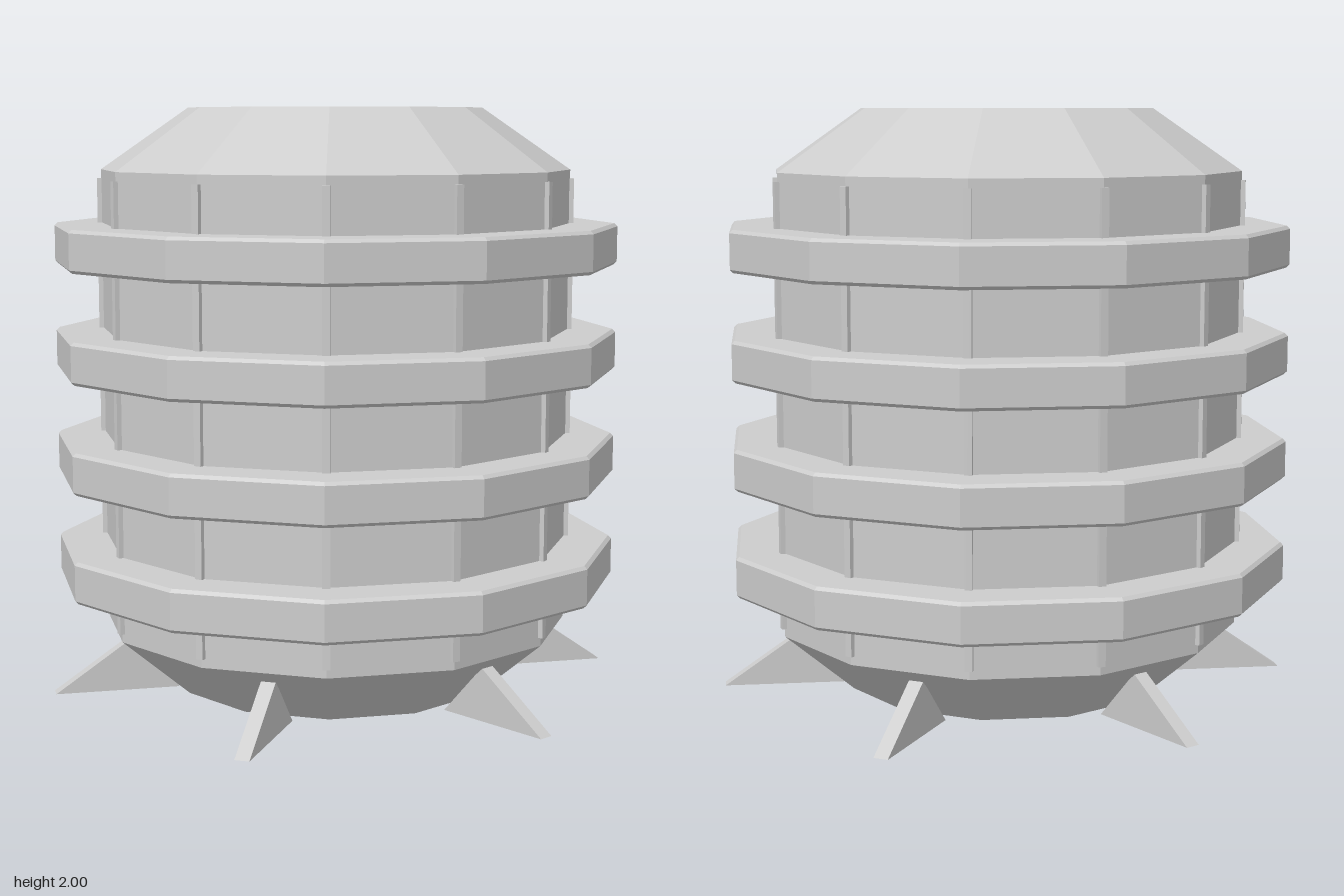
import * as THREE from 'three';

const SIDES = 12;
const HALF_STEP = Math.PI / SIDES;

// Unshared vertices give crisp flat facets
function faceted(geometry) {
  const g = geometry.index ? geometry.toNonIndexed() : geometry;
  g.computeVertexNormals();
  return g;
}

// Twelve-sided solid of revolution, flat side facing front; profile runs bottom to top
function turned(profile) {
  const points = profile.map(([r, y]) => new THREE.Vector2(r, y));
  return faceted(new THREE.LatheGeometry(points, SIDES, HALF_STEP));
}

export function createModel() {
  const model = new THREE.Group();
  model.name = 'ribbedTank';
  const metal = new THREE.MeshStandardMaterial({ color: 0xcccccc });
  metal.name = 'light grey metal';

  function add(name, geometry, parent = model) {
    const mesh = new THREE.Mesh(geometry, metal);
    mesh.name = name;
    parent.add(mesh);
    return mesh;
  }

  // Body with tapered base and roof
  add('body', turned([[0, 0.01], [0.564, 0.01], [0.808, 0.22], [0.808, 1.79], [0.505, 2], [0, 2]]));

  // Four bevelled hoops
  const hoopHeight = 0.142, bevel = 0.011, hoopRadius = 0.973;
  for (let i = 0; i < 4; i++) {
    const y = 0.37 + i * 0.365, top = y + hoopHeight;
    add('hoop', turned([
      [0.78, y], [hoopRadius - bevel, y], [hoopRadius, y + bevel],
      [hoopRadius, top - bevel], [hoopRadius - bevel, top], [0.78, top],
    ]));
  }

  // Thin upright ribs on the body corners
  const ribGeometry = new THREE.BoxGeometry(0.025, 1.51, 0.025);
  for (let i = 0; i < SIDES; i++) {
    const a = HALF_STEP + i * 2 * HALF_STEP;
    const rib = add('rib', ribGeometry);
    rib.position.set(0.808 * Math.sin(a), 1.005, 0.808 * Math.cos(a));
    rib.rotation.y = a;
  }

  // Six triangular fin feet
  const thickness = 0.05;
  const fin = new THREE.Shape([
    new THREE.Vector2(0.563, 0), new THREE.Vector2(0.99, 0), new THREE.Vector2(0.73, 0.18),
  ]);
  const finGeometry = faceted(new THREE.ExtrudeGeometry(fin, { depth: thickness, bevelEnabled: false }));
  finGeometry.translate(0, 0, -thickness / 2);
  for (let i = 0; i < 6; i++) {
    add('foot', finGeometry).rotation.y = Math.PI / 2 + i * Math.PI / 3;
  }

  return model;
}
